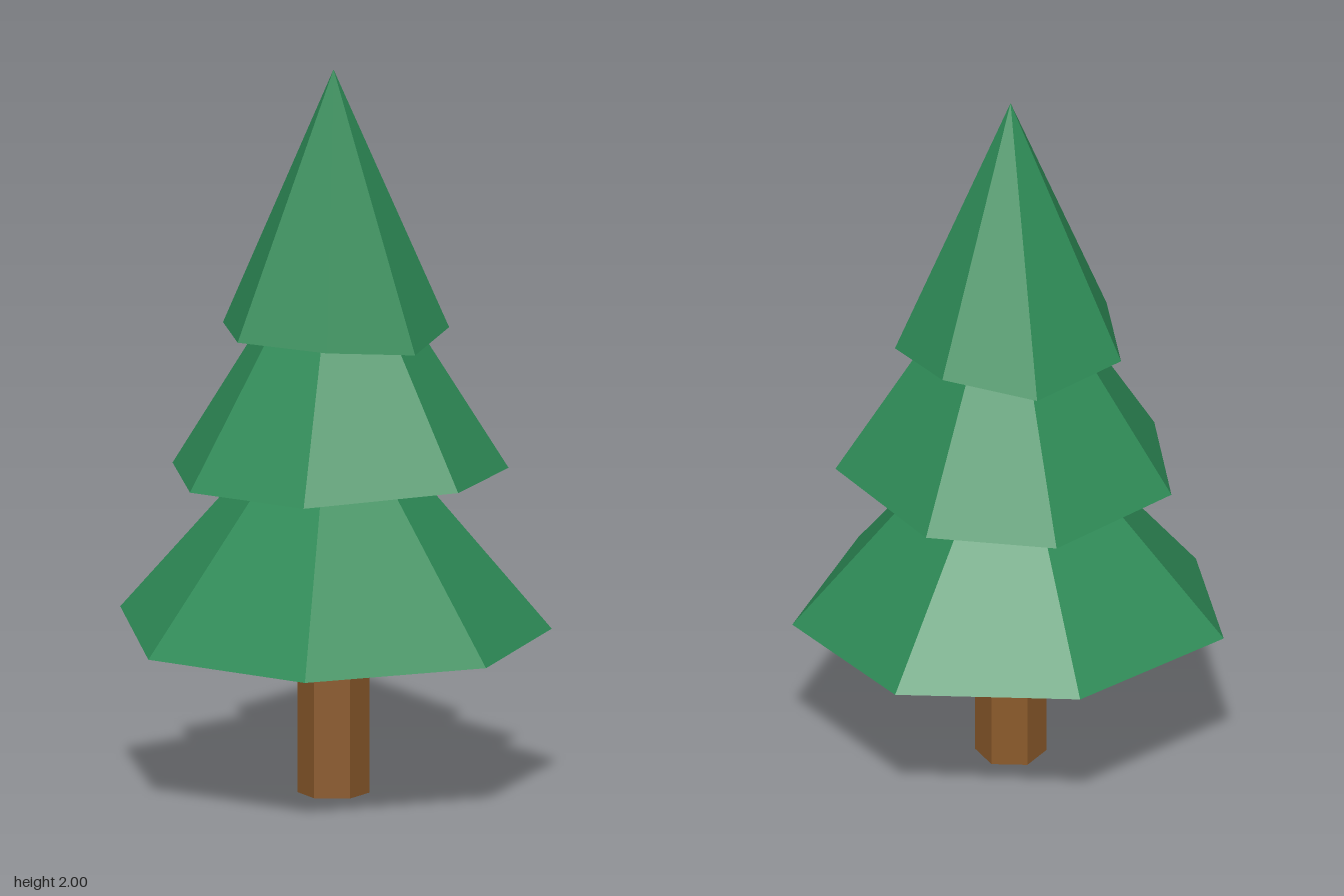
import * as THREE from 'three';

// Irregular seven-sided cone with a closed underside; rim points run from back via right to front and left
function tier(name, apex, rim, material) {
  const tip = new THREE.Vector3(...apex);
  const points = rim.map((p) => new THREE.Vector3(...p));
  const centre = points.reduce((sum, p) => sum.add(p), new THREE.Vector3()).divideScalar(points.length);
  const corners = [];
  points.forEach((p, i) => {
    const next = points[(i + 1) % points.length];
    corners.push(tip, next, p); // sloping side
    corners.push(centre, p, next); // underside
  });
  const geometry = new THREE.BufferGeometry().setFromPoints(corners);
  geometry.computeVertexNormals();
  const mesh = new THREE.Mesh(geometry, material);
  mesh.name = name;
  return mesh;
}

export function createModel() {
  const foliage = new THREE.MeshStandardMaterial({ color: 0x2e8b57 });
  foliage.name = 'foliage green';
  const bark = new THREE.MeshStandardMaterial({ color: 0x8b5a2b });
  bark.name = 'bark brown';

  const tree = new THREE.Group();
  tree.name = 'pineTree';

  // Hexagonal trunk
  const trunkGeometry = new THREE.CylinderGeometry(0.0975, 0.0975, 0.5, 6).toNonIndexed();
  trunkGeometry.computeVertexNormals();
  const trunk = new THREE.Mesh(trunkGeometry, bark);
  trunk.name = 'trunk';
  trunk.position.set(0.015, 0.25, 0.012);
  tree.add(trunk);

  // Three overlapping foliage tiers
  tree.add(tier('lowerFoliage', [-0.005, 1.15, -0.01], [
    [0.01, 0.455, -0.58], [0.47, 0.435, -0.375], [0.585, 0.425, 0.14], [0.28, 0.425, 0.575],
    [-0.25, 0.425, 0.53], [-0.59, 0.47, 0.135], [-0.45, 0.48, -0.37],
  ], foliage));
  tree.add(tier('middleFoliage', [0.02, 1.63, 0], [
    [0, 0.88, -0.44], [0.4, 0.89, -0.267], [0.48, 0.893, 0.115], [0.2, 0.877, 0.455],
    [-0.18, 0.877, 0.43], [-0.435, 0.88, 0.115], [-0.33, 0.88, -0.3],
  ], foliage));
  tree.add(tier('topFoliage', [0.027, 2, 0.03], [
    [0.03, 1.3, -0.31], [0.255, 1.275, -0.195], [0.32, 1.25, 0.08], [0.17, 1.275, 0.29],
    [-0.1, 1.28, 0.315], [-0.3, 1.275, 0.073], [-0.22, 1.27, -0.225],
  ], foliage));

  return tree;
}
